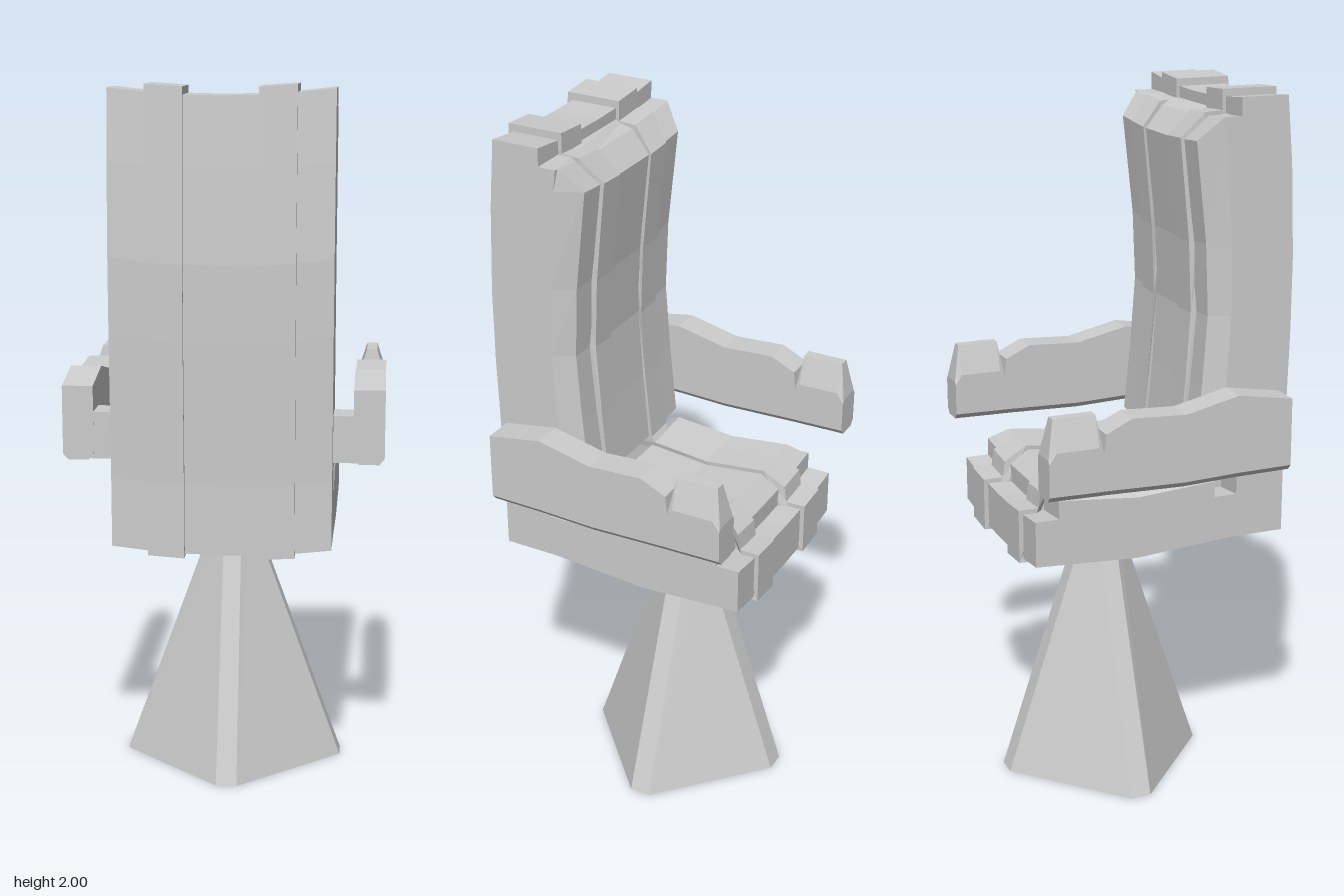
import * as THREE from 'three';

const material = new THREE.MeshStandardMaterial({ color: 0xcccccc, flatShading: true, side: THREE.DoubleSide });

// Move every vertex of a geometry by a rule
function warp(geo, rule) {
  const p = geo.attributes.position, v = new THREE.Vector3();
  for (let i = 0; i < p.count; i++) {
    rule(v.fromBufferAttribute(p, i));
    p.setXYZ(i, v.x, v.y, v.z);
  }
  geo.computeVertexNormals();
  return geo;
}

// Gentle hollow across the width of seat and back
const sag = v => { v.y -= 0.02 * (1 - Math.min(1, (v.x / 0.3) ** 2)); };

// Side profile of [z, y] points, extruded from x0 to x1
function extrudeSide(profile, x0, x1, steps) {
  const shape = new THREE.Shape(profile.map(([z, y]) => new THREE.Vector2(-z, y)));
  return new THREE.ExtrudeGeometry(shape, { depth: x1 - x0, steps, bevelEnabled: false })
    .rotateY(Math.PI / 2).translate(x0, 0, 0);
}

// Skin counter-clockwise rings of [x, y] placed at increasing z, with end caps
function loft(sections) {
  const pos = [];
  const rings = sections.map(([z, pts]) => pts.map(([x, y]) => [x, y, z]));
  const tri = (...corners) => corners.forEach(c => pos.push(...c));
  const n = rings[0].length;
  for (let k = 0; k < rings.length - 1; k++) {
    const a = rings[k], b = rings[k + 1];
    for (let i = 0; i < n; i++) {
      const j = (i + 1) % n;
      tri(a[i], a[j], b[j]);
      tri(a[i], b[j], b[i]);
    }
  }
  const first = rings[0], last = rings[rings.length - 1];
  for (let i = 1; i < n - 1; i++) {
    tri(first[0], first[i + 1], first[i]);
    tri(last[0], last[i], last[i + 1]);
  }
  const geo = new THREE.BufferGeometry();
  geo.setAttribute('position', new THREE.Float32BufferAttribute(pos, 3));
  geo.computeVertexNormals();
  return geo;
}

// Cushion with sloping border; stations are [along, base, rim, top, top half width]
function cushion(stations) {
  return loft(stations.map(([s, base, rim, top, w]) => [s, [
    [-0.3, base], [0.3, base], [0.3, rim], [w, top], [0.1, top], [-0.1, top], [-w, top], [-0.3, rim],
  ]]));
}

export function createModel() {
  const group = new THREE.Group();
  const add = (name, geo) => {
    const mesh = new THREE.Mesh(geo, material);
    mesh.name = name;
    group.add(mesh);
  };

  // Tapered pedestal: diamond plan with cut corners
  const plan = (rx, rz, c) => [[rx, -c], [rx, c], [c, rz], [-c, rz], [-rx, c], [-rx, -c], [-c, -rz], [c, -rz]];
  add('pedestal', loft([[0, plan(0.32, 0.298, 0.03)], [0.75, plan(0.05, 0.05, 0.025)]])
    .rotateX(-Math.PI / 2).translate(0, 0, -0.077));

  // L-shaped shell of seat and back
  add('shell', warp(extrudeSide([
    [0.365, 0.755], [0.2, 0.755], [-0.08, 0.735], [-0.38, 0.752], [-0.38, 0.882], [0.22, 0.882],
    [0.22, 1.2], [0.23, 1.45], [0.22, 1.7], [0.215, 1.99], [0.352, 1.99],
    [0.368, 1.8], [0.378, 1.55], [0.377, 1.35], [0.365, 0.95],
  ], -0.3, 0.3, 6), sag));

  // Seat cushion
  add('seatCushion', warp(cushion([
    [-0.312, 0.86, 0.933, 0.934, 0.29],
    [-0.262, 0.86, 0.93, 0.975, 0.255],
    [-0.08, 0.86, 0.913, 0.955, 0.255],
    [0.1, 0.86, 0.925, 0.972, 0.255],
    [0.152, 0.86, 0.928, 0.929, 0.29],
  ]), sag));

  // Back cushion, made flat and then stood up (heights become -z)
  add('backCushion', warp(cushion([
    [0.95, -0.24, -0.165, -0.164, 0.29],
    [1.0, -0.24, -0.168, -0.11, 0.255],
    [1.2, -0.24, -0.182, -0.13, 0.255],
    [1.4, -0.24, -0.195, -0.145, 0.255],
    [1.6, -0.24, -0.193, -0.137, 0.255],
    [1.88, -0.24, -0.172, -0.106, 0.255],
    [1.94, -0.24, -0.165, -0.164, 0.29],
  ]).rotateX(-Math.PI / 2), sag));

  // Two bands that wrap the whole chair, narrower over the cushions
  const band = [
    [0.378, 0.745], [0.2, 0.745], [-0.08, 0.727], [-0.393, 0.742], [-0.393, 0.895], [-0.335, 0.895],
    [-0.328, 0.942], [-0.268, 0.988], [-0.08, 0.968], [0.09, 0.985], [0.1, 1.0],
    [0.118, 1.2], [0.133, 1.4], [0.125, 1.6], [0.097, 1.885], [0.155, 1.952], [0.205, 1.955],
    [0.205, 2.011], [0.366, 2.011], [0.38, 1.8], [0.392, 1.55], [0.39, 1.35], [0.378, 0.95],
  ];
  for (const [name, x0] of [['leftBand', 0.1], ['rightBand', -0.2]]) {
    add(name, warp(extrudeSide(band, x0, x0 + 0.1, 1), v => {
      if (v.y > 0.95 && v.y < 1.92 && v.z < 0.15) v.x = Math.sign(v.x) * (Math.abs(v.x) * 0.85);
      sag(v);
    }));
  }

  // Armrests with a pointed hand grip; stations are [z, top, top half width, shoulder, lower edge]
  const armStations = [
    [-0.39, 1.1, 0.036, 1.09, 1.0],
    [-0.37, 1.205, 0.015, 1.12, 1.0],
    [-0.25, 1.205, 0.015, 1.12, 0.998],
    [-0.236, 1.1, 0.042, 1.098, 0.998],
    [-0.23, 1.155, 0.0425, 1.15, 0.998],
    [-0.156, 1.19, 0.0425, 1.18, 0.996],
    [0, 1.182, 0.0425, 1.17, 0.992],
    [0.156, 1.217, 0.0425, 1.2, 0.998],
    [0.315, 1.19, 0.0425, 1.18, 1.0],
  ];
  for (const [side, sx] of [['left', 1], ['right', -1]]) {
    add(side + 'Armrest', loft(armStations.map(([z, top, w, shoulder, low]) => [z, [
      [-0.028, low - 0.016], [0.028, low - 0.016], [0.0425, low], [0.0425, shoulder],
      [w, top], [-w, top], [-0.0425, shoulder], [-0.0425, low],
    ]])).translate(sx * 0.3975, 0, 0));
    add(side + 'ArmBracket', new THREE.BoxGeometry(0.09, 0.13, 0.092).translate(sx * 0.325, 1.053, 0.268));
  }
  return group;
}
